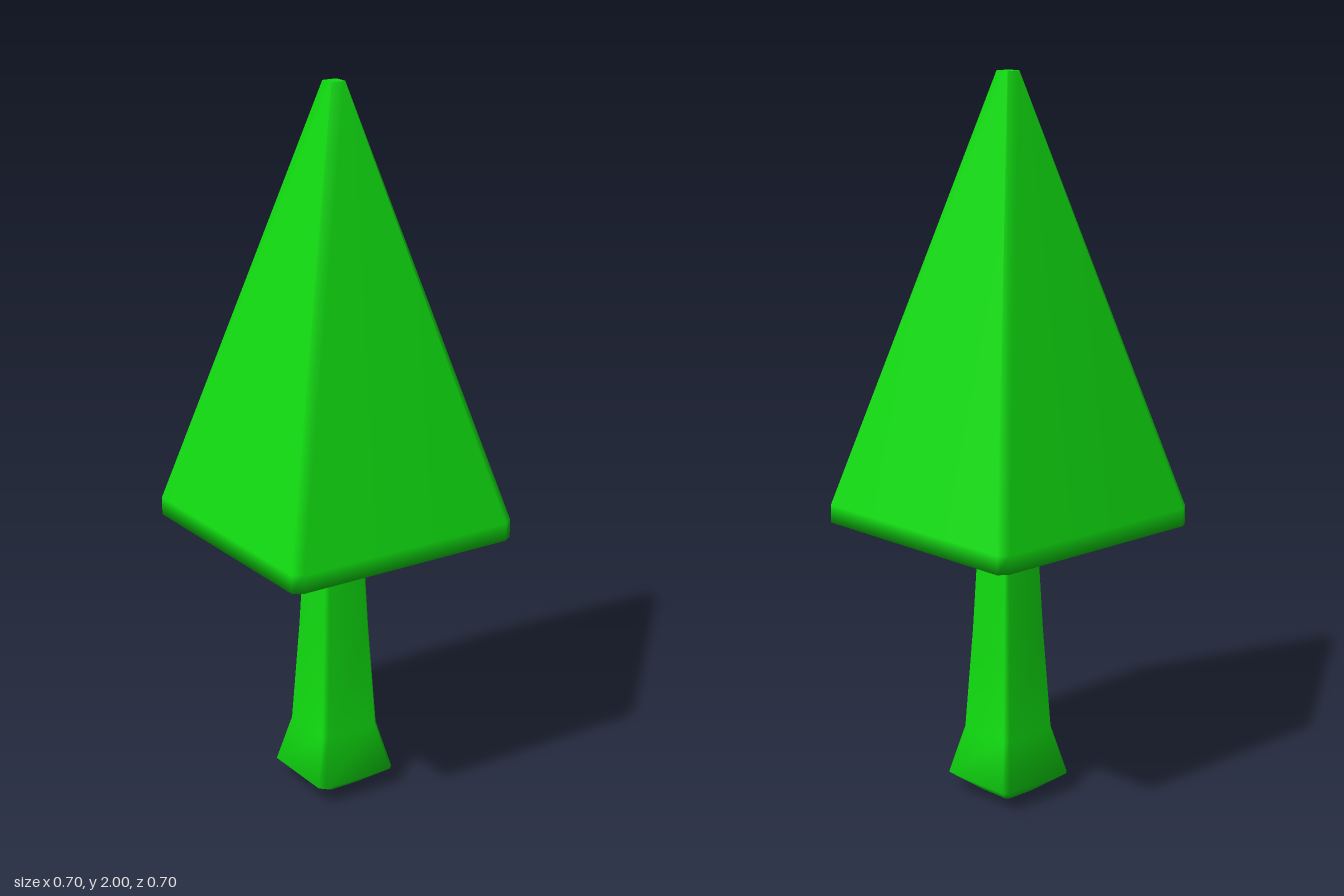
import * as THREE from 'three';

// Square cross-section with chamfered corners: 8 points
function ring(h, y, cx, cz) {
  const a = h - cx, b = h - cz;
  return [[h, -b], [h, b], [a, h], [-a, h], [-h, b], [-h, -b], [-a, -h], [a, -h]]
    .map(([x, z]) => [x, y, z]);
}

// Half width, height, corner chamfer in x and z, from the ground up
const sections = [
  [0.05, 0, 0.008, 0.008],
  [0.123, 0.055, 0.014, 0.014],
  [0.09, 0.19, 0.012, 0.012],
  [0.073, 0.48, 0.01, 0.01],
  [0.062, 0.72, 0.008, 0.008],
  [0.06, 0.76, 0.008, 0.008],
  [0.06, 0.78, 0.008, 0.008],
  [0.35, 0.78, 0.027, 0.018],
  [0.35, 0.83, 0.027, 0.018],
  [0.022, 2, 0.002, 0.002],
];
const SIDES = 8;
const TRUNK_BANDS = 6;

export function createModel() {
  const group = new THREE.Group();
  group.name = 'tree';
  const material = new THREE.MeshStandardMaterial({ color: 0x10dc10 });

  const points = sections.flatMap((s) => ring(...s));
  const trunk = [], canopy = [];

  // Bands between neighbouring sections
  for (let r = 0; r < sections.length - 1; r++) {
    const target = r < TRUNK_BANDS ? trunk : canopy;
    for (let i = 0; i < SIDES; i++) {
      const a = r * SIDES + i, b = r * SIDES + (i + 1) % SIDES;
      target.push(a, a + SIDES, b, b, a + SIDES, b + SIDES);
    }
  }
  // Underside of the foot
  for (let i = 1; i < SIDES - 1; i++) trunk.push(0, i, i + 1);
  // Flat tip with its own vertices for a sharp edge
  const tip = points.length;
  points.push(...ring(...sections[sections.length - 1]));
  for (let i = 1; i < SIDES - 1; i++) canopy.push(tip, tip + i + 1, tip + i);

  // Normals are shared across both parts so the join shades smoothly
  const body = new THREE.BufferGeometry();
  body.setAttribute('position', new THREE.Float32BufferAttribute(points.flat(), 3));
  body.setIndex([...trunk, ...canopy]);
  body.computeVertexNormals();

  for (const [name, index] of [['trunk', trunk], ['canopy', canopy]]) {
    const geometry = body.clone().setIndex(index);
    const mesh = new THREE.Mesh(geometry, material);
    mesh.name = name;
    group.add(mesh);
  }
  return group;
}
